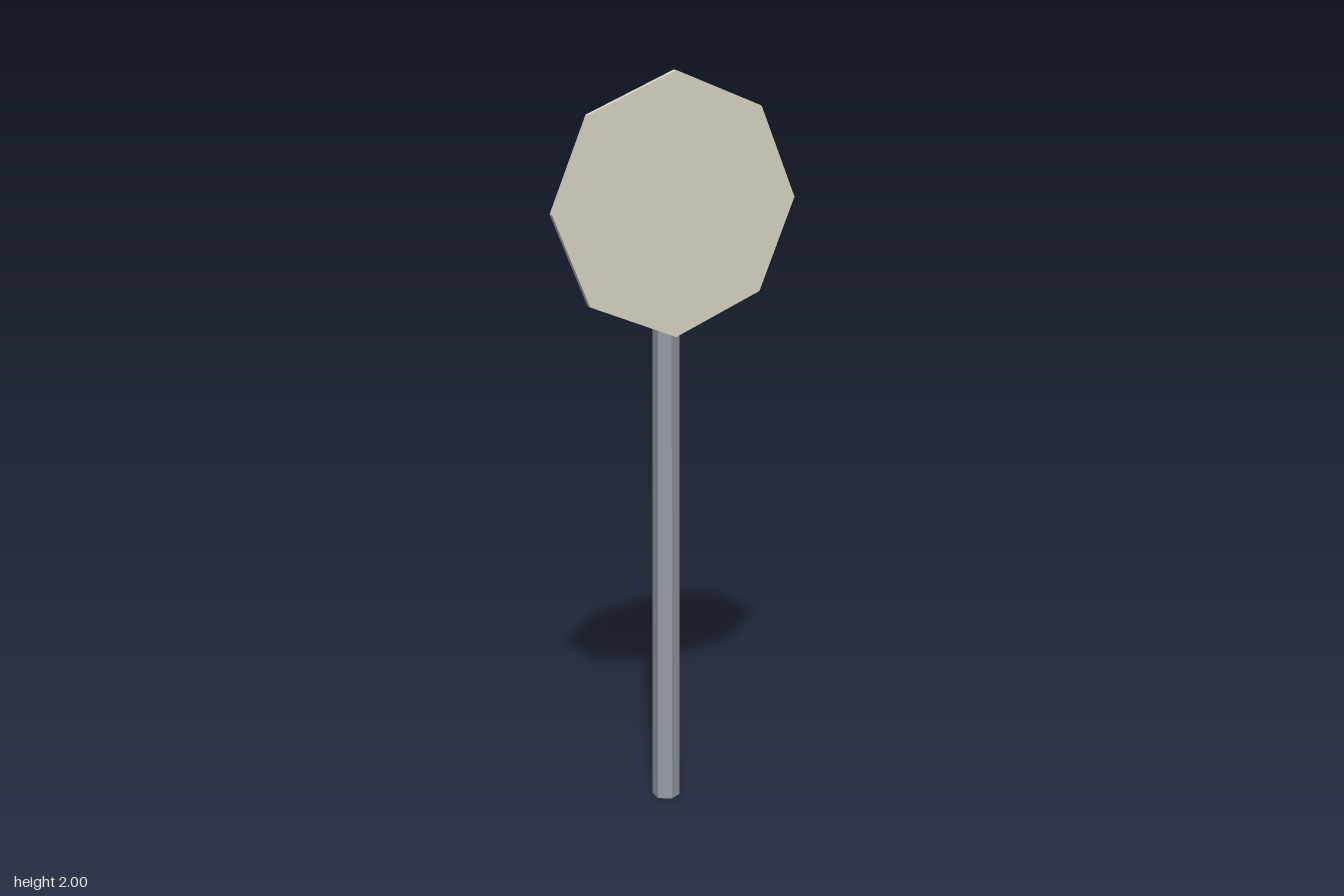
import * as THREE from 'three';

const material = (name, color) => {
  const m = new THREE.MeshStandardMaterial({ color, flatShading: true });
  m.name = name;
  return m;
};

export function createModel() {
  const group = new THREE.Group();
  group.name = 'roadSign';
  const cream = material('cream', 0xd6d3c2);
  const red = material('red', 0xb02c2c);
  const grey = material('steelGrey', 0x969ca4);

  // Slightly tapered hexagonal post, one corner facing the front
  const postHeight = 1.81;
  const post = new THREE.Mesh(
    new THREE.CylinderGeometry(0.0345, 0.038, postHeight, 6), grey);
  post.name = 'post';
  post.position.set(0, postHeight / 2, -0.013);
  group.add(post);

  // Octagonal plates standing on a corner
  const addPlate = (name, radius, back, front, mat) => {
    const geometry = new THREE.CylinderGeometry(radius, radius, front - back, 8);
    geometry.rotateX(Math.PI / 2);
    const plate = new THREE.Mesh(geometry, mat);
    plate.name = name;
    plate.position.set(0, 1.657, (front + back) / 2);
    group.add(plate);
  };
  addPlate('backPlate', 0.31, 0.003, 0.033, red);
  addPlate('facePlate', 0.343, 0.033, 0.05, cream);

  return group;
}
